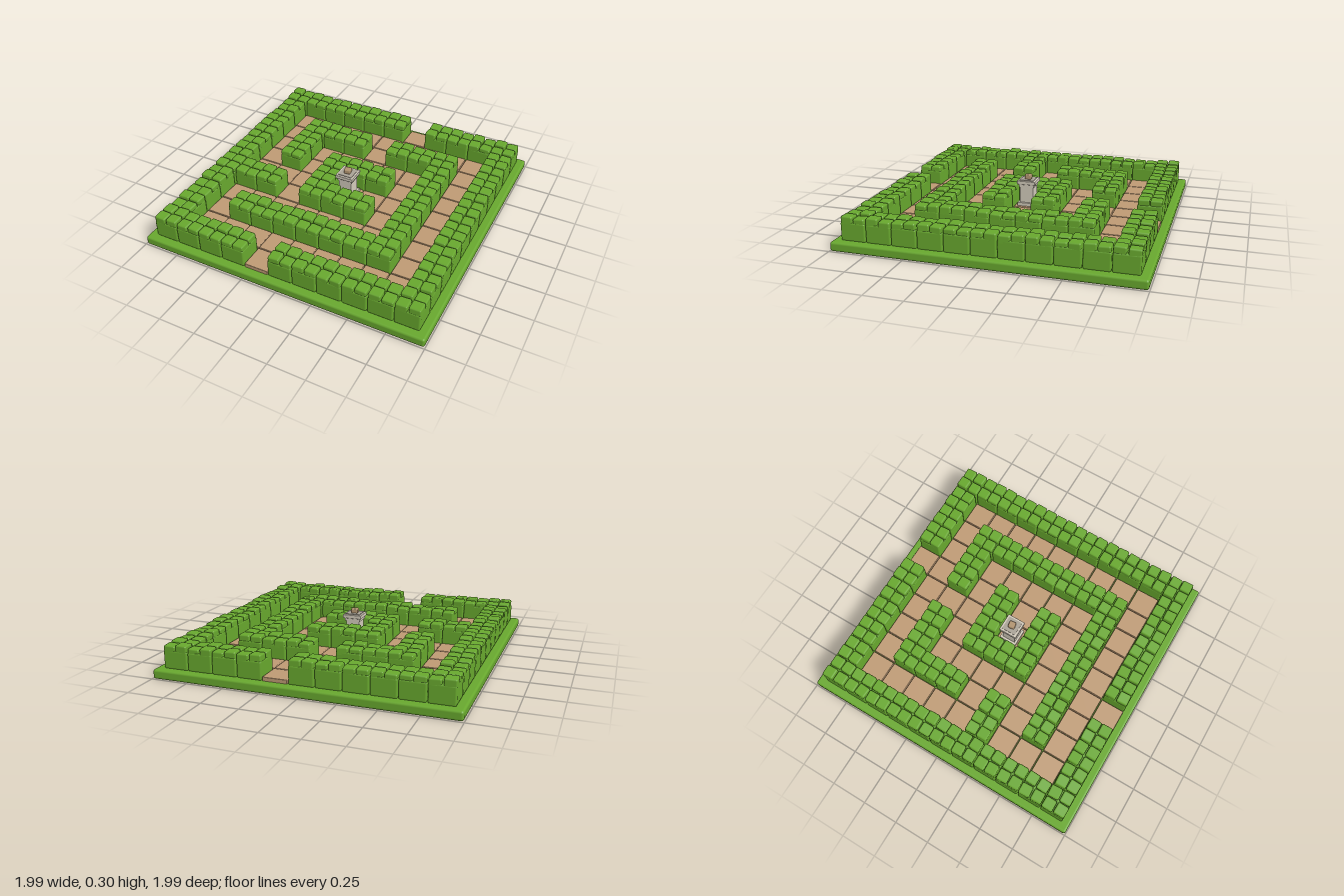
import * as THREE from 'three';
import { RoundedBoxGeometry } from 'three/addons/geometries/RoundedBoxGeometry.js';

const PITCH = 0.1715;
// '#' is hedge, '.' is path; rows run from back to front
const PLAN = [
  '######.####',
  '#.........#',
  '#.###.###.#',
  '#.#.....#.#',
  '#.#.###.#.#',
  '#...#...#.#',
  '###.###.#.#',
  '#.......#.#',
  '#.#######.#',
  '#.........#',
  '####.######',
];

// small seeded generator for the uneven clipped tops
let seed = 7;
function rand(range) {
  seed = (seed * 16807) % 2147483647;
  return (seed / 2147483647 - 0.5) * 2 * range;
}

function add(parent, name, geometry, material, x, y, z) {
  const mesh = new THREE.Mesh(geometry, material);
  mesh.name = name;
  mesh.position.set(x, y, z);
  parent.add(mesh);
  return mesh;
}

function makeMaterial(name, color) {
  const material = new THREE.MeshStandardMaterial({ color });
  material.name = name;
  return material;
}

export function createModel() {
  const model = new THREE.Group();
  model.name = 'hedgeMaze';
  const green = makeMaterial('leaf green', 0x68a82e);
  const tan = makeMaterial('path tan', 0xbe9a74);
  const stone = makeMaterial('pale stone', 0xd2cabb);
  const grey = makeMaterial('grey stone', 0xa9a296);
  const brown = makeMaterial('brown stone', 0xb0936f);

  // Lawn slab
  add(model, 'lawn', new RoundedBoxGeometry(1.99, 0.062, 1.99, 2, 0.015), green, 0, 0.033, 0);

  const blockGeo = new RoundedBoxGeometry(0.168, 0.125, 0.168, 1, 0.012);
  const tuftGeo = new RoundedBoxGeometry(0.079, 0.06, 0.079, 1, 0.011);
  const tileGeo = new RoundedBoxGeometry(0.166, 0.034, 0.166, 1, 0.005);

  // Hedges and path tiles
  PLAN.forEach((row, r) => [...row].forEach((cell, c) => {
    const x = (c - 5) * PITCH;
    const z = (r - 5) * PITCH;
    if (cell === '.') {
      add(model, 'pathTile', tileGeo, tan, x, 0.073, z);
      return;
    }
    const hedge = new THREE.Group();
    hedge.name = 'hedge';
    hedge.position.set(x, 0, z);
    add(hedge, 'hedgeBlock', blockGeo, green, 0, 0.1225, 0);
    for (const sx of [-1, 1]) {
      for (const sz of [-1, 1]) {
        const tuft = add(hedge, 'hedgeTuft', tuftGeo, green,
          sx * 0.0425 + rand(0.002), 0.187 + rand(0.008), sz * 0.0425 + rand(0.002));
        tuft.rotation.set(rand(0.05), rand(0.05), rand(0.05));
      }
    }
    model.add(hedge);
  }));

  // Pedestal in the middle
  const pedestal = new THREE.Group();
  pedestal.name = 'pedestal';
  add(pedestal, 'pedestalFoot', new THREE.BoxGeometry(0.125, 0.025, 0.125), stone, 0, 0.1, 0);
  add(pedestal, 'pedestalColumn', new THREE.BoxGeometry(0.094, 0.14, 0.094), stone, 0, 0.175, 0);
  add(pedestal, 'pedestalNeck', new THREE.BoxGeometry(0.108, 0.02, 0.108), stone, 0, 0.234, 0);
  add(pedestal, 'pedestalCap', new RoundedBoxGeometry(0.13, 0.026, 0.13, 1, 0.004), stone, 0, 0.257, 0);
  add(pedestal, 'pedestalInset', new THREE.BoxGeometry(0.1, 0.006, 0.1), grey, 0, 0.271, 0);
  const knob = add(pedestal, 'pedestalKnob', new RoundedBoxGeometry(0.048, 0.034, 0.048, 1, 0.009),
    brown, 0, 0.288, 0);
  knob.rotation.y = 0.12;
  model.add(pedestal);

  return model;
}
